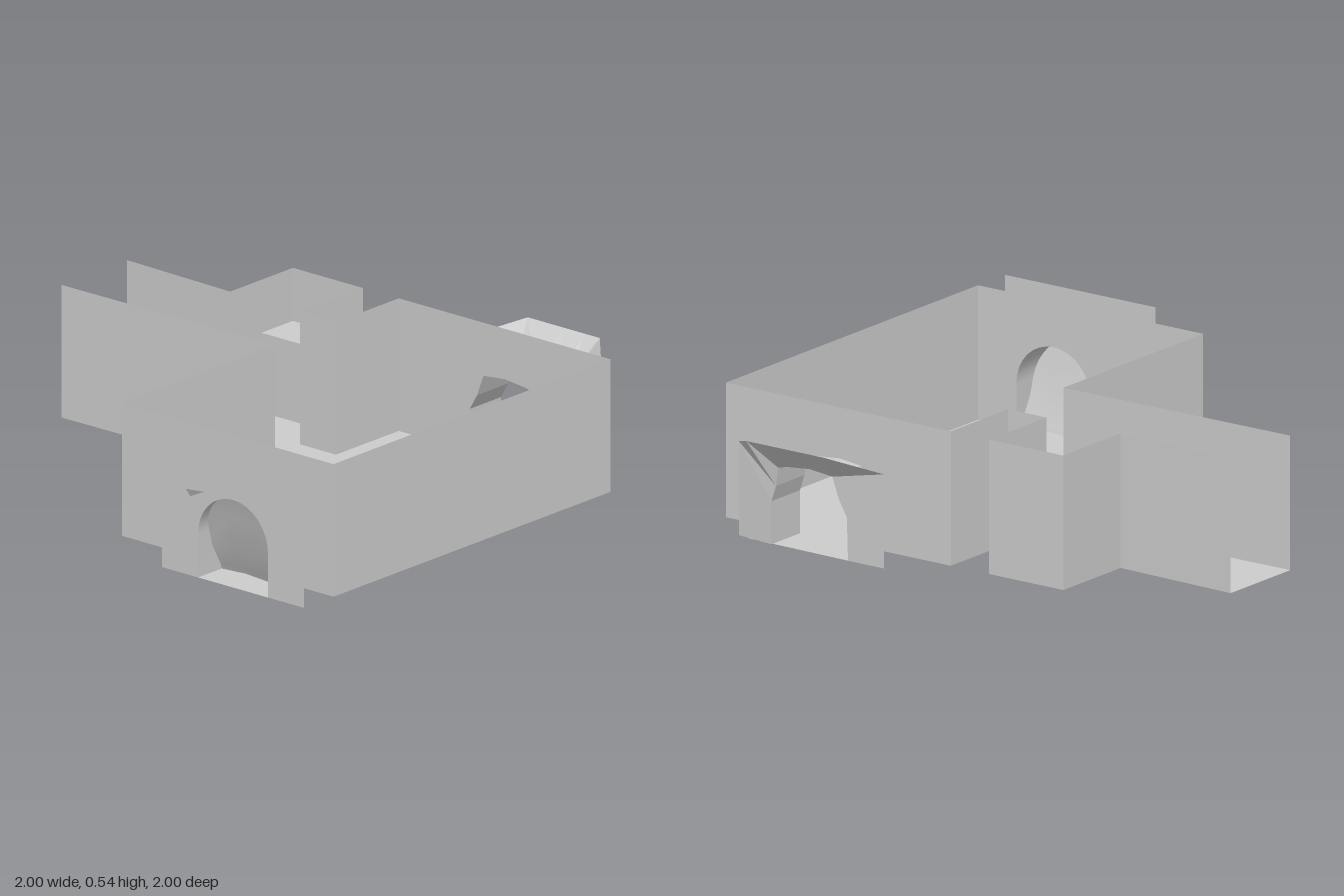
import * as THREE from 'three';

const BASE = 0.04, TOP = 0.54;
const mat = new THREE.MeshStandardMaterial({ color: 0xcccccc, side: THREE.DoubleSide, flatShading: true });
const smooth = new THREE.MeshStandardMaterial({ color: 0xcccccc, side: THREE.DoubleSide });

// Sheet joining cross-sections, each a list of [x, y, z] of equal length
function loft(rows) {
  const n = rows[0].length, index = [];
  for (let r = 0; r < rows.length - 1; r++)
    for (let i = 0; i < n - 1; i++) {
      const a = r * n + i, b = a + n;
      index.push(a, b, a + 1, b, b + 1, a + 1);
    }
  const g = new THREE.BufferGeometry();
  g.setAttribute('position', new THREE.Float32BufferAttribute(rows.flat(2), 3));
  g.setIndex(index);
  g.computeVertexNormals();
  return g;
}

// Horizontal sheet from [x, z] corners
function floorSheet(points) {
  const shape = new THREE.Shape(points.map(([x, z]) => new THREE.Vector2(x, -z)));
  return new THREE.ShapeGeometry(shape).rotateX(-Math.PI / 2).translate(0, BASE, 0);
}

// Upright sheet across x with a doorway cut by a [z, y] arch running from low z to high z
function doorwayWall(x, z0, z1, arch) {
  const outline = [[z0, BASE], ...arch, [z1, BASE], [z1, TOP], [z0, TOP]];
  const shape = new THREE.Shape(outline.map(p => new THREE.Vector2(...p)));
  return new THREE.ShapeGeometry(shape).rotateY(-Math.PI / 2).translate(x, 0, 0);
}

export function createModel() {
  const model = new THREE.Group();
  const add = (name, geometry, material = mat) => {
    const mesh = new THREE.Mesh(geometry, material);
    mesh.name = name;
    model.add(mesh);
  };

  // Room, corridor and alcove floor
  const plan = [
    [-0.82, 0], [-0.82, 1], [0.68, 1], [0.68, 0], [0.34, 0], [0.34, -0.17], [0.68, -0.17],
    [0.68, -0.5], [0.34, -0.5], [0.355, -1], [0, -1], [0.01, 0],
  ];
  add('floor', floorSheet(plan));

  // Plain walls along the plan; the two doorway walls and the corridor's open end are skipped
  plan.forEach(([x, z], i) => {
    if (i === 0 || i === 2 || i === 9) return;
    const [x2, z2] = plan[(i + 1) % plan.length];
    add('wall', loft([[[x, BASE, z], [x2, BASE, z2]], [[x, TOP, z], [x2, TOP, z2]]]));
  });

  // Ledge in the alcove
  const ledge = [[0.51, BASE], [0.51, 0.34], [0.68, 0.34]];
  add('alcoveLedge', loft([-0.5, -0.17].map(z => ledge.map(([x, y]) => [x, y, z]))));

  // Round arch on the right side: wall, passage and outer plate
  const roundArch = [[0.5, BASE]];
  for (let i = 0; i <= 16; i++) {
    const a = Math.PI * (1 - i / 16);
    roundArch.push([0.665 + 0.165 * Math.cos(a), 0.205 + 0.165 * Math.sin(a)]);
  }
  roundArch.push([0.83, BASE]);
  add('rightDoorwayWall', doorwayWall(-0.82, 0, 1, roundArch));
  add('rightOuterPlate', doorwayWall(-0.98, 0.33, 1, roundArch));
  add('rightPassage', loft([-0.82, -0.98].map(x => roundArch.map(([z, y]) => [x, y, z]))), smooth);
  add('rightPassageFloor', floorSheet([[-0.82, 0.33], [-0.98, 0.42], [-0.98, 0.91], [-0.82, 0.83]]));

  // Sloping curtain hung in the right passage
  const drop = [[-0.97, 0.37], [-0.94, 0.28], [-0.9, 0.14], [-0.855, 0.06], [-0.835, 0]];
  add('curtain', loft(drop.map(([x, y], r) => [
    [x - (r ? 0.005 : 0.03), y, 0.46 + r * 0.008],
    [x + 0.01, y, 0.6],
    [x - 0.005, y, 0.73],
    [x, y + (r === 4 ? 0.01 : 0), 0.88],
  ])), smooth);

  // Rough arch on the left side: wall and passage
  const roughArch = [
    [0.33, BASE], [0.335, 0.2], [0.37, 0.26], [0.4, 0.34], [0.5, 0.35],
    [0.6, 0.34], [0.64, 0.33], [0.65, 0.26], [0.67, 0.2], [0.67, BASE],
  ];
  add('leftDoorwayWall', doorwayWall(0.68, 0, 1, roughArch));
  add('leftPassage', loft([0.68, 0.85].map(x => roughArch.map(([z, y]) => [x, y, z]))));
  add('leftPassageFloor', floorSheet([[0.68, 0.33], [0.68, 0.83], [0.84, 0.78], [0.85, 0.28]]));

  // Flared hood around the left passage mouth
  const hoodRim = [
    [0.85, BASE, 0.17], [0.85, 0.39, 0.17], [0.85, 0.39, 0.17], [1, 0.46, 0.33], [1, 0.46, 0.5],
    [1, 0.46, 0.6], [1, 0.46, 0.67], [0.83, 0.39, 0.83], [0.83, 0.39, 0.83], [0.83, BASE, 0.83],
  ];
  add('leftHood', loft([roughArch.map(([z, y]) => [0.85, y, z]), hoodRim]));

  return model;
}
